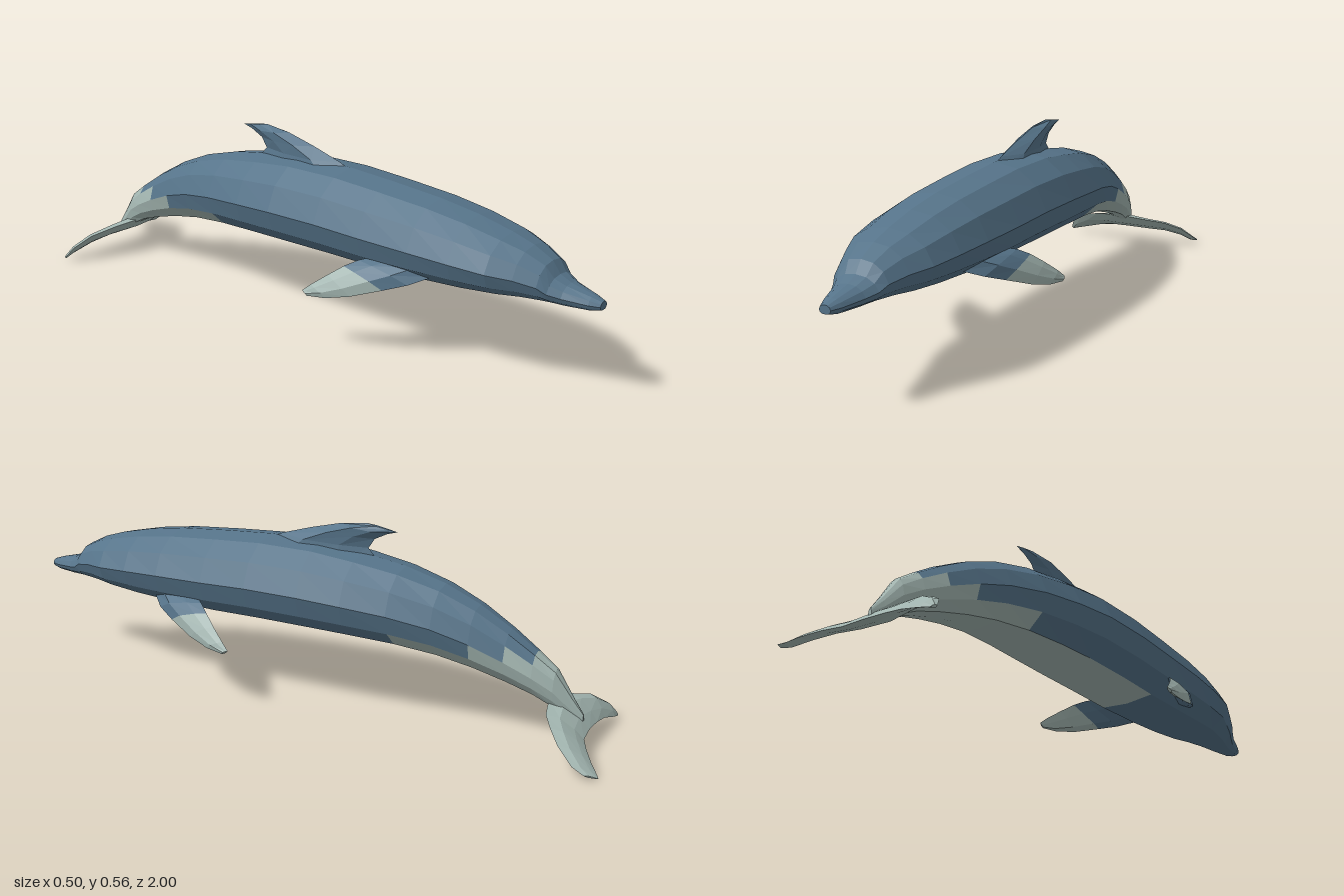
import * as THREE from 'three';

const slate = new THREE.MeshStandardMaterial({ color: 0x56748a, flatShading: true });
slate.name = 'slate blue skin';
const pale = new THREE.MeshStandardMaterial({ color: 0xa3b6b1, flatShading: true });
pale.name = 'pale grey skin';

// Joins closed rings of points into a faceted skin; isPale(ring, side) picks the colour of each face.
function loft(name, rings, isPale) {
  const tris = [[], []];
  const n = rings[0].length;
  const centre = (r) => r.reduce((s, p) => s.add(p), new THREE.Vector3()).divideScalar(n);
  for (let i = 0; i < rings.length - 1; i++) {
    for (let j = 0; j < n; j++) {
      const k = (j + 1) % n;
      const [a, b, c, d] = [rings[i][j], rings[i][k], rings[i + 1][k], rings[i + 1][j]];
      tris[isPale(i, j) ? 1 : 0].push([a, b, c], [a, c, d]);
    }
  }
  const last = rings.length - 1;
  const ends = [centre(rings[0]), centre(rings[last])];
  for (let j = 0; j < n; j++) {
    const k = (j + 1) % n;
    tris[isPale(0, j) ? 1 : 0].push([ends[0], rings[0][k], rings[0][j]]);
    tris[isPale(last - 1, j) ? 1 : 0].push([ends[1], rings[last][j], rings[last][k]]);
  }
  // turn the faces outward if the rings ran the other way
  let volume = 0;
  const all = [...tris[0], ...tris[1]];
  for (const [a, b, c] of all) volume += a.dot(b.clone().cross(c));
  const points = all.flatMap(([a, b, c]) => (volume < 0 ? [a, c, b] : [a, b, c]));
  const geo = new THREE.BufferGeometry().setFromPoints(points);
  geo.addGroup(0, tris[0].length * 3, 0);
  geo.addGroup(tris[0].length * 3, tris[1].length * 3, 1);
  geo.computeVertexNormals();
  const mesh = new THREE.Mesh(geo, [slate, pale]);
  mesh.name = name;
  return mesh;
}

// Blade from stations [leading edge, trailing edge, half thickness]
function blade(name, stations, normal, isPale) {
  const up = new THREE.Vector3(...normal).normalize();
  const rings = stations.map(([lead, trail, t]) => {
    const a = new THREE.Vector3(...lead);
    const b = new THREE.Vector3(...trail);
    const at = (f, h) => a.clone().lerp(b, f).addScaledVector(up, h * t);
    return [at(0, 0), at(0.3, 1), at(0.7, 0.7), at(1, 0), at(0.7, -0.7), at(0.3, -1)];
  });
  return loft(name, rings, isPale);
}

function makeBody() {
  // z, top, bottom, half width
  const stations = [
    [1.0, 0.295, 0.27, 0.018],
    [0.97, 0.305, 0.264, 0.032],
    [0.9, 0.322, 0.262, 0.055],
    [0.865, 0.338, 0.264, 0.072],
    [0.84, 0.372, 0.264, 0.085],
    [0.78, 0.402, 0.262, 0.11],
    [0.71, 0.424, 0.256, 0.14],
    [0.6, 0.449, 0.247, 0.157],
    [0.47, 0.468, 0.24, 0.167],
    [0.3, 0.482, 0.235, 0.173],
    [0.14, 0.492, 0.236, 0.176],
    [-0.04, 0.49, 0.234, 0.175],
    [-0.18, 0.474, 0.23, 0.163],
    [-0.32, 0.452, 0.223, 0.142],
    [-0.45, 0.417, 0.208, 0.115],
    [-0.56, 0.37, 0.185, 0.092],
    [-0.66, 0.312, 0.157, 0.071],
    [-0.74, 0.258, 0.13, 0.053],
    [-0.8, 0.214, 0.1, 0.036],
    [-0.85, 0.14, 0.074, 0.018],
    [-0.885, 0.092, 0.06, 0.006],
  ];
  // one side of the cross-section, from back to belly
  const half = [[0, 1], [0.45, 0.95], [0.8, 0.77], [1, 0.48], [0.88, 0.23], [0.54, 0.035], [0, 0]];
  const outline = [...half, ...half.slice(1, -1).reverse().map(([x, y]) => [-x, y])];
  const rings = stations.map(([z, top, low, w]) =>
    outline.map(([x, y]) => new THREE.Vector3(x * w, low + y * (top - low), z)));
  // the pale belly patch climbs the sides toward the tail
  const paleFrom = [-0.73, -0.73, -0.65, -0.5, -0.3, 0.31];
  return loft('body', rings, (i, j) => stations[i][0] < paleFrom[j < 6 ? j : 11 - j]);
}

function makeFlipper(side) {
  const stations = [
    [[0.1, 0.27, 0.52], [0.12, 0.3, 0.35], 0.022],
    [[0.15, 0.245, 0.465], [0.163, 0.285, 0.3], 0.018],
    [[0.182, 0.222, 0.4], [0.188, 0.265, 0.265], 0.015],
    [[0.215, 0.19, 0.31], [0.212, 0.235, 0.225], 0.012],
    [[0.236, 0.172, 0.235], [0.234, 0.2, 0.18], 0.009],
    [[0.247, 0.167, 0.175], [0.243, 0.178, 0.155], 0.005],
  ].map(([a, b, t]) => [[a[0] * side, a[1], a[2]], [b[0] * side, b[1], b[2]], t]);
  return blade(side > 0 ? 'leftFlipper' : 'rightFlipper', stations, [0.75 * side, 0.62, 0.15], (i) => i > 1);
}

export function createModel() {
  const model = new THREE.Group();
  model.name = 'dolphin';
  model.add(makeBody(), makeFlipper(1), makeFlipper(-1));

  // swept-back dorsal fin
  model.add(blade('dorsalFin', [
    [[0, 0.455, 0.2], [0, 0.44, -0.24], 0.045],
    [[0, 0.5, 0.1], [0, 0.49, -0.195], 0.033],
    [[0, 0.53, 0.0], [0, 0.52, -0.215], 0.028],
    [[0, 0.555, -0.1], [0, 0.54, -0.255], 0.022],
    [[0, 0.566, -0.19], [0, 0.55, -0.29], 0.006],
  ], [1, 0, 0], () => false));

  // drooping tail flukes, the left one swept further back
  model.add(blade('tailFlukes', [
    [[-0.25, 0.016, -0.905], [-0.238, 0.01, -0.918], 0.004],
    [[-0.23, 0.052, -0.878], [-0.2, 0.02, -0.918], 0.009],
    [[-0.18, 0.087, -0.845], [-0.13, 0.04, -0.908], 0.012],
    [[-0.1, 0.108, -0.81], [-0.07, 0.048, -0.905], 0.014],
    [[0, 0.12, -0.78], [0, 0.052, -0.905], 0.018],
    [[0.09, 0.108, -0.803], [0.07, 0.048, -0.912], 0.014],
    [[0.15, 0.095, -0.838], [0.12, 0.042, -0.935], 0.012],
    [[0.2, 0.07, -0.878], [0.165, 0.025, -0.965], 0.01],
    [[0.228, 0.03, -0.93], [0.19, 0.006, -0.99], 0.007],
    [[0.231, 0.013, -0.965], [0.207, 0.002, -1.0], 0.003],
  ], [0, 0.86, -0.5], () => true));
  return model;
}
